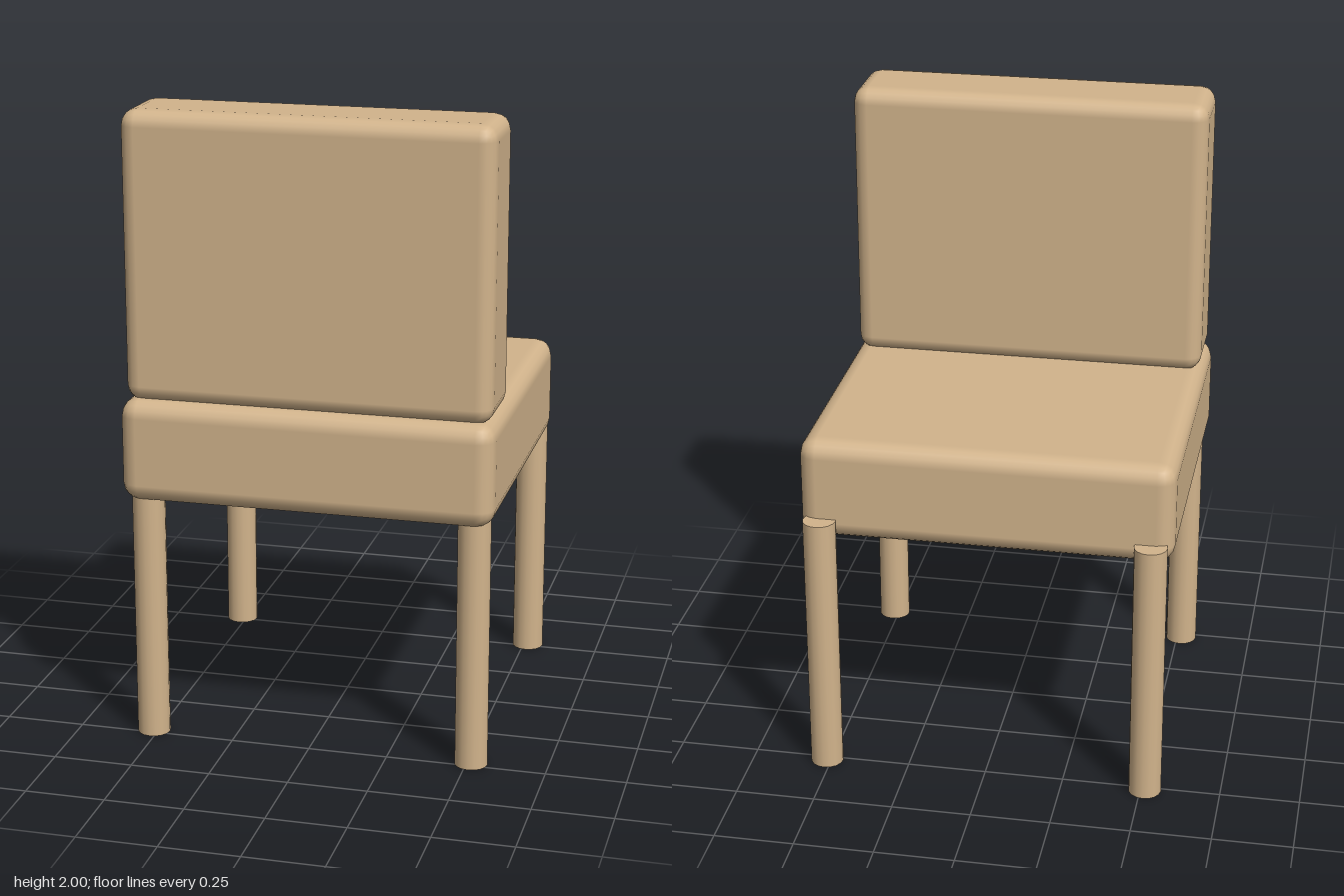
import * as THREE from 'three';
import { RoundedBoxGeometry } from 'three/addons/geometries/RoundedBoxGeometry.js';

export function createModel() {
  const chair = new THREE.Group();
  chair.name = 'chair';

  const tan = new THREE.MeshStandardMaterial({ color: 0xd2b48c });
  tan.name = 'tan';

  const add = (name, geometry, x, y, z) => {
    const mesh = new THREE.Mesh(geometry, tan);
    mesh.name = name;
    mesh.position.set(x, y, z);
    chair.add(mesh);
  };

  // Cushions with softly rounded edges
  add('seat', new RoundedBoxGeometry(1.164, 0.325, 1.07, 2, 0.056), 0, 0.952, 0.03);
  add('backrest', new RoundedBoxGeometry(1.138, 0.897, 0.28, 2, 0.05), 0, 1.5515, 0.395);

  // Round legs; the rear pair stands slightly proud of the seat
  const legHeight = 0.86;
  const legGeometry = new THREE.CylinderGeometry(0.0515, 0.0515, legHeight, 16);
  for (const [side, x] of [['left', 0.514], ['right', -0.514]]) {
    for (const [end, z] of [['Front', 0.48], ['Rear', -0.514]]) {
      add(`${side}${end}Leg`, legGeometry, x, legHeight / 2, z);
    }
  }

  return chair;
}
